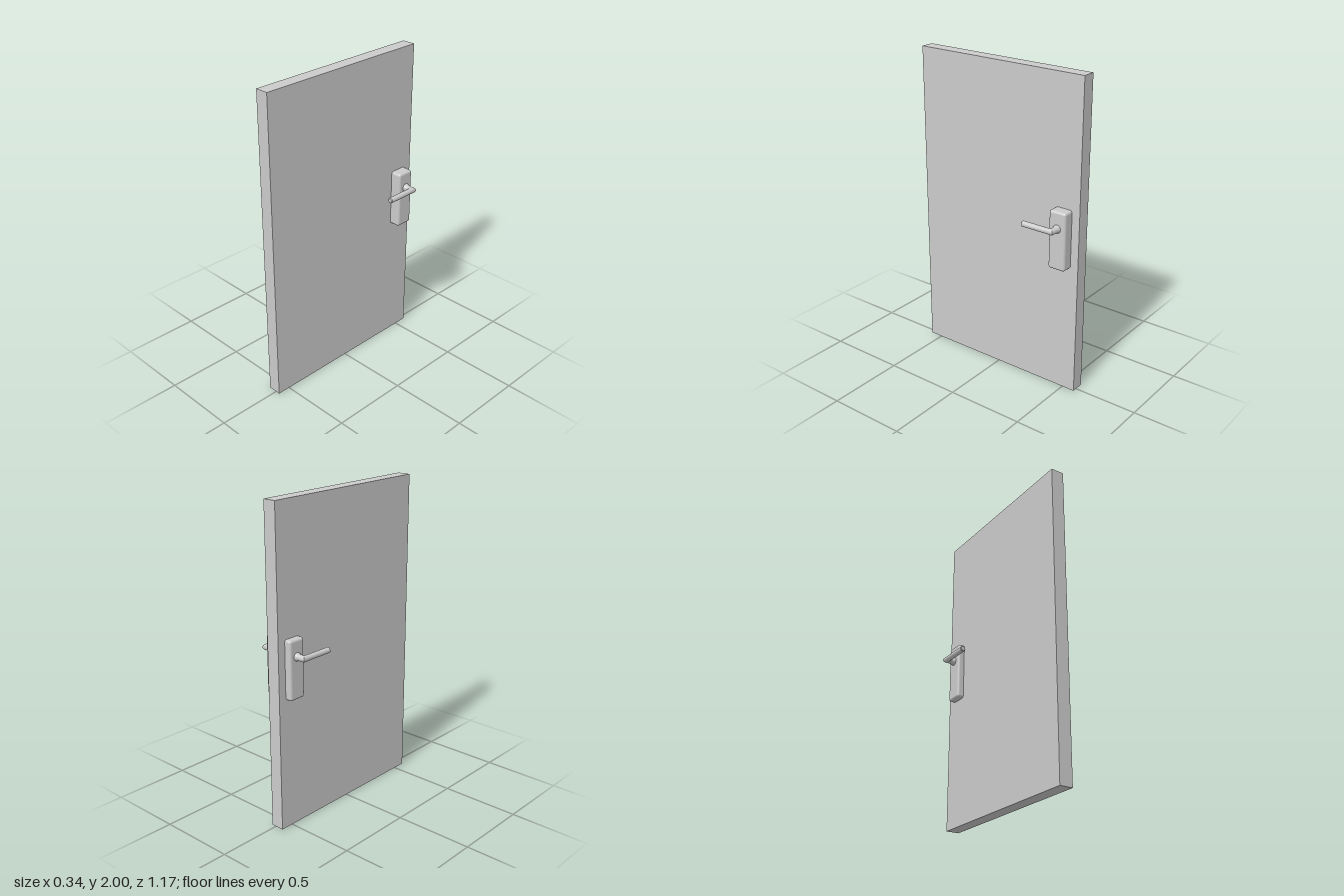
import * as THREE from 'three';
import { toCreasedNormals } from 'three/addons/utils/BufferGeometryUtils.js';
import { RoundedBoxGeometry } from 'three/addons/geometries/RoundedBoxGeometry.js';

const SIDES = 20;
const HANDLE_Y = 1.095;

// Lever cross-sections: centre x, z; outward axis ux, uz; height radius; optional outer and inner radius
const D = Math.SQRT1_2;
const SECTIONS = [
  [0.085, -0.475, 0, -1, 0.027],
  [0.1, -0.475, 0, -1, 0.026],
  [0.108, -0.475, 0, -1, 0.022],
  [0.118, -0.475, 0, -1, 0.02],
  [0.152, -0.475, D, -D, 0.019, 0.025, 0.027], // mitred elbow
  [0.152, -0.44, 1, 0, 0.018],
  [0.152, -0.273, 1, 0, 0.018],
  [0.152, -0.268, 1, 0, 0.013],
  [0.152, -0.268, 1, 0, 0], // closed tip
];

function leverGeometry(side) {
  const positions = [], index = [];
  for (const [x, z, ux, uz, r, outer = r, inner = r] of SECTIONS) {
    for (let j = 0; j < SIDES; j++) {
      const a = (j / SIDES) * Math.PI * 2, c = Math.cos(a);
      const w = c * (c > 0 ? outer : inner);
      positions.push(side * (x + ux * w), r * Math.sin(a), z + uz * w);
    }
  }
  const face = (a, b, c) => index.push(...(side > 0 ? [a, b, c] : [a, c, b]));
  const last = SECTIONS.length - 2;
  for (let i = 0; i <= last; i++) {
    for (let j = 0; j < SIDES; j++) {
      const k = (j + 1) % SIDES;
      const a = i * SIDES + j, b = i * SIDES + k;
      face(a, b, a + SIDES);
      if (i < last) face(b, b + SIDES, a + SIDES);
    }
  }
  const geometry = new THREE.BufferGeometry();
  geometry.setAttribute('position', new THREE.Float32BufferAttribute(positions, 3));
  geometry.setIndex(index);
  // Enlarged while creasing so that close vertices stay distinct
  geometry.scale(100, 100, 100);
  return toCreasedNormals(geometry, 0.6).scale(0.01, 0.01, 0.01);
}

export function createModel() {
  const model = new THREE.Group();
  model.name = 'door';
  const material = new THREE.MeshStandardMaterial({ color: 0xcccccc });
  const add = (name, geometry, x, y, z) => {
    const mesh = new THREE.Mesh(geometry, material);
    mesh.name = name;
    mesh.position.set(x, y, z);
    model.add(mesh);
  };

  // Slab
  add('doorPanel', new THREE.BoxGeometry(0.085, 2, 1.168), -0.0135, 1, 0);

  // Lock body running through the slab, forming the plate on both faces
  add('lockPlates', new RoundedBoxGeometry(0.196, 0.37, 0.115, 3, 0.016), 0, 1.016, -0.474);

  // Lever on each face
  add('leftLever', leverGeometry(1), 0, HANDLE_Y, 0);
  add('rightLever', leverGeometry(-1), 0, HANDLE_Y, 0);
  return model;
}
